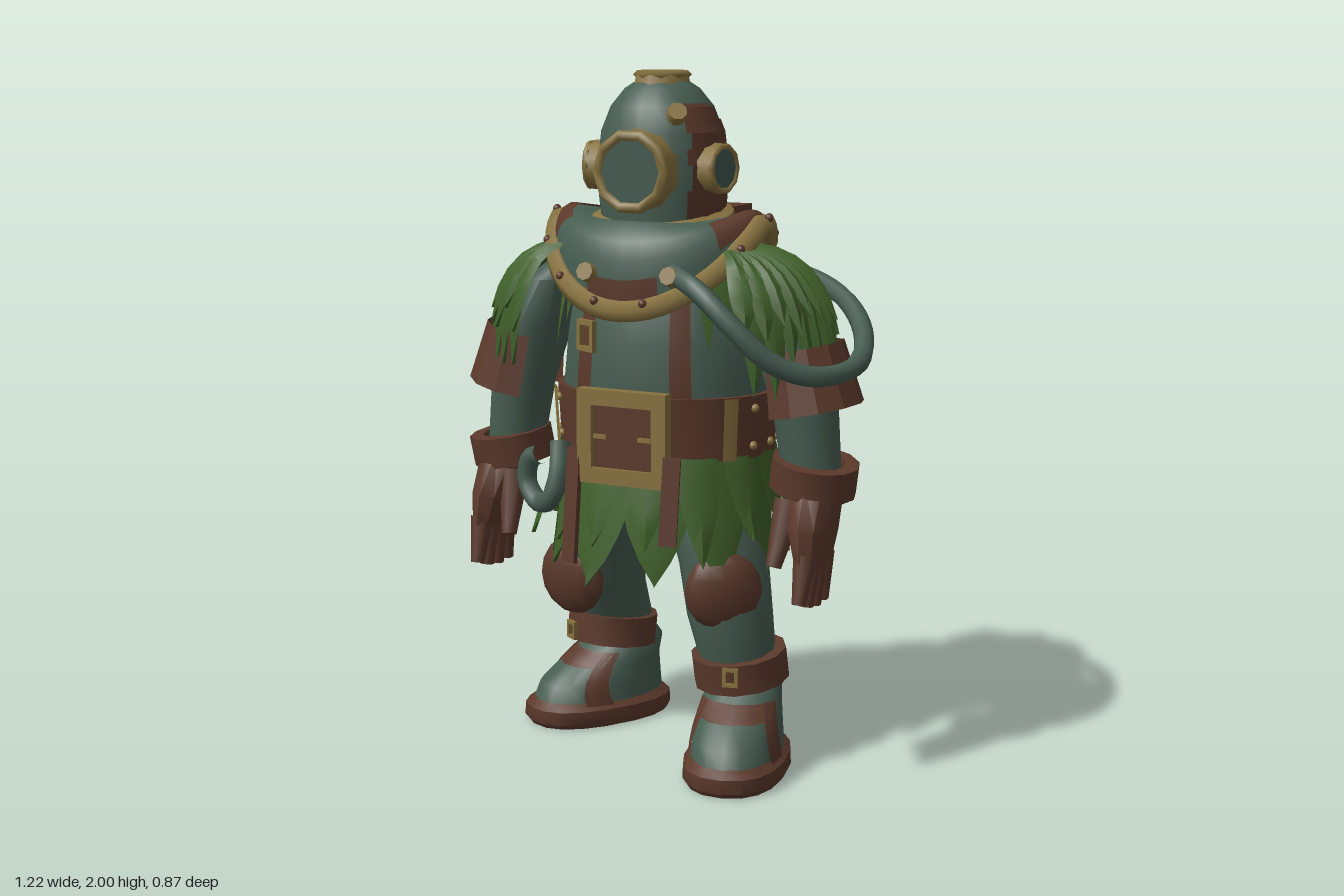
import * as THREE from 'three';
import { toCreasedNormals } from 'three/addons/utils/BufferGeometryUtils.js';

const V = (x, y, z) => new THREE.Vector3(x, y, z);
const TAU = Math.PI * 2;

export function createModel() {
  const paint = (name, color, side = THREE.FrontSide) => {
    const m = new THREE.MeshStandardMaterial({ color, side });
    m.name = name;
    return m;
  };
  const teal = paint('teal canvas', 0x475d51);
  const glass = paint('dark glass', 0x41584e);
  const brown = paint('brown leather', 0x5b392b, THREE.DoubleSide);
  const gold = paint('old brass', 0x87723f);
  const green = paint('leaf green', 0x3f5f29, THREE.DoubleSide);

  let seed = 7;
  const rnd = () => (seed = (seed * 16807) % 2147483647) / 2147483647;

  const root = new THREE.Group();
  const upper = new THREE.Group();
  upper.name = 'upperBody';
  upper.rotation.y = -0.27;
  root.add(upper);

  const add = (parent, name, geo, mat, pos = [0, 0, 0], rot = [0, 0, 0]) => {
    const m = new THREE.Mesh(geo, mat);
    m.name = name;
    m.position.set(...pos);
    m.rotation.set(...rot);
    parent.add(m);
    return m;
  };
  const group = (parent, name, pos = [0, 0, 0], rot = [0, 0, 0]) => {
    const g = new THREE.Group();
    g.name = name;
    g.position.set(...pos);
    g.rotation.set(...rot);
    parent.add(g);
    return g;
  };
  // surface from f(u, v); faces look along du x dv
  const grid = (nu, nv, f) => {
    const pos = [], idx = [];
    for (let j = 0; j <= nv; j++) for (let i = 0; i <= nu; i++) pos.push(...f(i / nu, j / nv).toArray());
    for (let j = 0; j < nv; j++) for (let i = 0; i < nu; i++) {
      const a = j * (nu + 1) + i, d = a + nu + 1;
      idx.push(a, a + 1, d, a + 1, d + 1, d);
    }
    const g = new THREE.BufferGeometry();
    g.setAttribute('position', new THREE.Float32BufferAttribute(pos, 3));
    g.setIndex(idx);
    return toCreasedNormals(g, 0.75);
  };
  // rings [cx, y, cz, rx, rz] from bottom to top; k is a ring index, o an outward offset
  const surf = (rings, p = 1) => (t, k, o = 0) => {
    const i = Math.min(Math.floor(k), rings.length - 2), f = k - i;
    const [cx, y, cz, rx, rz] = rings[i].map((a, n) => a + (rings[i + 1][n] - a) * f);
    const pw = (c) => Math.sign(c) * Math.abs(c) ** p;
    return V(cx + (rx + o) * pw(Math.sin(t)), y, cz + (rz + o) * pw(Math.cos(t)));
  };
  const loft = (parent, name, mat, rings, n = 18, p = 1) => {
    const s = surf(rings, p);
    add(parent, name, grid(n, rings.length - 1, (u, v) => s((u % 1) * TAU, v * (rings.length - 1))), mat);
    return s;
  };
  const patch = (parent, name, mat, s, t0, t1, k0, k1, o = 0.006, nv = 4) =>
    add(parent, name, grid(4, nv, (u, v) => s(t0 + (t1 - t0) * u, k0 + (k1 - k0) * v, o)), mat);
  const band = (parent, name, mat, rx, rz, h, pos, rot) => loft(group(parent, name, pos, rot), name, mat,
    [[0, -h / 2, 0, rx - 0.04, rz - 0.04], [0, -h / 2, 0, rx, rz], [0, h / 2, 0, rx, rz], [0, h / 2, 0, rx - 0.04, rz - 0.04]], 12);
  const tube = (parent, name, mat, pts, r, n = 36) =>
    add(parent, name, new THREE.TubeGeometry(new THREE.CatmullRomCurve3(pts.map((p) => V(...p))), n, r, 8), mat);
  const frame = (parent, name, w, h, b, d, pos, rot) => {
    const rect = (s, x, y) => s.moveTo(-x, -y).lineTo(x, -y).lineTo(x, y).lineTo(-x, y).closePath();
    const sh = rect(new THREE.Shape(), w / 2, h / 2);
    sh.holes.push(rect(new THREE.Path(), w / 2 - b, h / 2 - b));
    return add(parent, name, new THREE.ExtrudeGeometry(sh, { depth: d, bevelEnabled: false }), gold, pos, rot);
  };
  const box = (x, y, z) => new THREE.BoxGeometry(x, y, z);
  const stud = new THREE.SphereGeometry(0.013, 8, 6);

  // torso, chest straps and leaf tufts
  const torso = loft(upper, 'torso', teal, [[0, 0.76, 0, 0.22, 0.17], [0, 0.95, 0, 0.3, 0.24], [0, 1.1, 0, 0.315, 0.255],
    [0, 1.25, 0, 0.3, 0.245], [0, 1.4, 0, 0.28, 0.215], [0, 1.52, 0, 0.2, 0.16], [0, 1.56, 0, 0, 0]]);
  for (const s of [-1, 1]) {
    patch(upper, 'chestStrap', brown, torso, s * 0.5 - 0.1, s * 0.5 + 0.1, 1.5, 4, 0.008);
    add(upper, 'hangingStrap', box(0.05, s > 0 ? 0.25 : 0.33, 0.015), brown, [s * 0.155, s > 0 ? 0.82 : 0.78, 0.3], [-0.12, s * 0.3, 0]);
    for (const a of [0.75, 0.95, 1.15, 2.0]) {
      const len = 1 + 0.6 * rnd();
      add(upper, 'chestLeaf', grid(2, 3, (u, v) => torso(s * a + (u - 0.5) * 0.26 * (1 - v), 4.3 - v * len, 0.035)), green);
    }
  }
  frame(upper, 'strapBuckle', 0.075, 0.09, 0.015, 0.015, [-0.14, 1.26, 0.222], [0, -0.45, 0]);

  // belt with studs, bars and large buckle
  const belt = loft(upper, 'belt', brown, [[0, 0.92, 0, 0.29, 0.23], [0, 0.92, 0, 0.325, 0.262], [0, 1.1, 0, 0.335, 0.272], [0, 1.1, 0, 0.3, 0.24]], 20);
  for (let i = 3; i < 18; i++) for (const k of [1.2, 1.8]) add(upper, 'beltStud', stud, gold, belt(i * TAU / 20, k).toArray());
  for (const s of [-1, 1]) patch(upper, 'beltBar', gold, belt, s * 0.95 - 0.07, s * 0.95 + 0.07, 1, 2, 0.012, 1);
  frame(upper, 'beltBuckle', 0.28, 0.27, 0.045, 0.035, [0, 0.985, 0.262]);
  add(upper, 'bucklePlate', box(0.2, 0.19, 0.03), brown, [0, 0.985, 0.268]);
  for (const s of [-1, 1]) add(upper, 'buckleTongue', box(0.04, 0.012, 0.01), gold, [s * 0.07, 0.985, 0.287]);
  tube(upper, 'beltHook', teal, [[-0.22, 0.95, 0.25], [-0.21, 0.86, 0.28], [-0.23, 0.79, 0.29], [-0.28, 0.77, 0.27],
    [-0.33, 0.82, 0.25], [-0.32, 0.89, 0.25], [-0.28, 0.91, 0.26]], 0.03, 24);

  // leaf skirt: broad inner leaves, narrow flaring outer ones
  const skirt = group(upper, 'leafSkirt');
  loft(skirt, 'skirtBase', green, [[0, 0.78, 0, 0.318, 0.262], [0, 0.94, 0, 0.305, 0.245]], 20);
  for (const [n, width, len0, flare0, lift] of [[11, 0.78, 0.29, 0.02, 0], [14, 0.4, 0.22, 0.04, 0.012]])
    for (let i = 0; i < n; i++) {
      const a = (i + 0.5) * TAU / n, len = len0 + 0.1 * rnd(), flare = flare0 + 0.05 * rnd();
      add(skirt, 'skirtLeaf', grid(2, 5, (u, v) => {
        const t = a + (u - 0.5) * width * (1 - v ** 2), r = flare * v + (u === 0.5 ? 0.012 : 0) + lift;
        return V((0.305 + r) * Math.sin(t), 0.93 - len * v, (0.25 + r) * Math.cos(t));
      }), green);
    }

  // saddle shaped collar with rim and bolts
  const collar = (t, v, o = 0) => {
    const c = Math.cos(t), drop = (c > 0 ? 0.235 : 0.16) * Math.abs(c) ** 1.3, b = Math.sin(v * Math.PI) * 0.03 + o;
    return V((0.318 - 0.123 * v + b) * Math.sin(t) - 0.022, 1.575 - drop * (1 - v) ** 1.2 + v * 0.01 + b, (0.25 - 0.075 * v + b) * c);
  };
  add(upper, 'collar', grid(28, 5, (u, v) => collar((u % 1) * TAU, v)), teal);
  for (const [a, b, v0, v1] of [[0.95, 2.3, 0.2, 0.7], [-2.2, -1.0, 0.2, 0.7], [-0.35, 0.35, 0, 0.22]])
    add(upper, 'collarPatch', grid(8, 4, (u, w) => collar(a + (b - a) * u, v0 + (v1 - v0) * w, 0.005)), brown);
  const rim = new THREE.CatmullRomCurve3(Array.from({ length: 24 }, (_, i) => collar(i * TAU / 24, 0)), true);
  add(upper, 'collarRim', new THREE.TubeGeometry(rim, 48, 0.034, 6, true), gold);
  for (let i = 0; i < 14; i++) {
    const t = (i + 0.5) * TAU / 14, p = collar(t, 0);
    add(upper, 'rimBolt', stud, brown, [p.x + 0.023 * Math.sin(t), p.y + 0.019, p.z + 0.023 * Math.cos(t)]);
  }
  for (const s of [-1, 1]) add(upper, 'collarPlug', new THREE.CylinderGeometry(0.026, 0.032, 0.06, 8), gold,
    [s * 0.13, 1.44, 0.235], [1.3, 0, 0]);

  // helmet
  const helmet = group(upper, 'helmet', [-0.01, 0, 0.012]);
  const dome = loft(helmet, 'helmetDome', teal, [[0, 1.52, 0, 0.17, 0.155], [0, 1.64, 0, 0.186, 0.164], [0, 1.74, 0, 0.19, 0.167],
    [0, 1.83, 0, 0.179, 0.157], [0, 1.9, 0, 0.15, 0.135], [0, 1.95, 0, 0.108, 0.1], [0, 1.98, 0, 0.06, 0.056], [0, 1.98, 0, 0, 0]], 22);
  for (const [k0, k1, a, b] of [[0, 0.6, 0.85, 2.5], [0.6, 1.3, 0.8, 2.35], [1.3, 2, 0.88, 2.5], [2, 2.5, 0.8, 2.25],
    [2.5, 3, 0.88, 2.3], [3, 3.5, 0.8, 1.95], [3.5, 4, 0.75, 1.7], [4, 4.2, 0.85, 1.45]])
    patch(helmet, 'rustPatch', brown, dome, a, b, k0, k1, 0.004, 2);
  loft(group(helmet, 'neckRing', [0, 1.575, 0], [0.18, 0, 0]), 'neckRing', gold,
    [[0, -0.045, 0, 0.2, 0.185], [0, -0.035, 0, 0.22, 0.2], [0, 0.02, 0, 0.21, 0.192], [0, 0.035, 0, 0.18, 0.16]], 22);
  const port = (name, r, depth, y, ang, dist) => {
    const g = group(helmet, name, [dist * Math.sin(ang), y, dist * Math.cos(ang)], [0, ang, 0]);
    add(g, 'portHousing', new THREE.CylinderGeometry(r, r * 1.05, depth, 10), gold, [0, 0, -depth / 2], [Math.PI / 2, 0, 0]);
    add(g, 'portRim', new THREE.TorusGeometry(r * 0.9, r * 0.14, 6, 10), gold);
    add(g, 'portGlass', new THREE.CircleGeometry(r * 0.84, 10), glass, [0, 0, 0.004]);
  };
  port('frontWindow', 0.115, 0.09, 1.725, 0, 0.2);
  for (const s of [-1, 1]) port('sideWindow', 0.07, 0.06, 1.73, s * 1.4, 0.212);
  add(helmet, 'helmetPlug', new THREE.CylinderGeometry(0.028, 0.032, 0.06, 8), gold, [0.095, 1.875, 0.105], [0.9, 0, -0.5]);

  // grille on the crown
  const grille = group(helmet, 'crownGrille', [0, 1.985, 0]);
  add(grille, 'grilleBase', new THREE.CylinderGeometry(0.078, 0.085, 0.03, 8), gold, [0, -0.012, 0]);
  add(grille, 'grilleHollow', new THREE.CircleGeometry(0.064, 8), glass, [0, 0.005, 0], [-Math.PI / 2, 0, 0]);
  add(grille, 'grilleRing', new THREE.TorusGeometry(0.072, 0.012, 4, 8), gold, [0, 0.003, 0], [Math.PI / 2, 0, Math.PI / 8]);
  for (const s of [-0.022, 0.022]) {
    add(grille, 'grilleBar', box(0.012, 0.01, 0.13), gold, [s, 0.008, 0]);
    add(grille, 'grilleBar', box(0.13, 0.01, 0.012), gold, [0, 0.008, s]);
  }

  // air pack, pipe and hose
  const pack = group(upper, 'airPack', [-0.015, 0, -0.265]);
  add(pack, 'packTop', box(0.25, 0.2, 0.17), brown, [0, 1.5, 0]);
  add(pack, 'packBottom', box(0.21, 0.18, 0.15), brown, [0, 1.34, 0]);
  add(pack, 'packFitting', box(0.11, 0.03, 0.11), gold, [0, 1.61, 0]);
  add(pack, 'pipeNut', new THREE.CylinderGeometry(0.04, 0.045, 0.05, 8), gold, [0, 1.64, 0]);
  for (const x of [-0.1, 0.1]) for (const y of [1.43, 1.57]) add(pack, 'packBolt', stud, gold, [x, y, -0.08]);
  tube(pack, 'airPipe', teal, [[0, 1.62, 0], [0, 1.72, 0], [0, 1.765, 0.025], [0, 1.77, 0.07], [0, 1.74, 0.12]], 0.031, 16);
  tube(root, 'airHose', teal, [[0.06, 1.45, 0.24], [0.15, 1.41, 0.33], [0.25, 1.32, 0.365], [0.36, 1.22, 0.35], [0.48, 1.18, 0.29],
    [0.57, 1.2, 0.17], [0.57, 1.27, 0.02], [0.49, 1.35, -0.14], [0.35, 1.4, -0.25], [0.17, 1.42, -0.28]], 0.029);

  // arms
  for (const s of [-1, 1]) {
    const arm = group(upper, s > 0 ? 'leftArm' : 'rightArm');
    loft(arm, 'sleeve', teal, [[0.48, 0.88, 0.055, 0.085, 0.085], [0.455, 1.08, 0.05, 0.095, 0.1], [0.41, 1.25, 0.045, 0.105, 0.12],
      [0.335, 1.4, 0.03, 0.09, 0.125], [0.27, 1.47, 0.01, 0.07, 0.1], [0.2, 1.5, 0, 0, 0]].map(([x, ...r]) => [s * x, ...r]), 14);
    band(arm, 'wristCuff', brown, 0.125, 0.12, 0.09, [s * 0.49, 0.885, 0.06], [0.1, 0, s * -0.15]);
    add(arm, 'elbowGuard', new THREE.CylinderGeometry(0.125, 0.15, 0.18, 8, 1, true, s * Math.PI / 2 - 2.1, 4.2).toNonIndexed(), brown,
      [s * 0.455, 1.155, 0.045], [0, 0, s * 0.2]).geometry.computeVertexNormals();

    // gloved hand
    const hand = group(arm, 'hand', [s * 0.5, 0.84, 0.1], [-0.12, 0, s * 0.1]);
    loft(hand, 'palm', brown, [[0, -0.2, 0.01, 0, 0], [0, -0.19, 0.01, 0.04, 0.1], [0, -0.1, 0, 0.065, 0.115], [0, 0.04, -0.03, 0.085, 0.08]], 10);
    for (let i = 0; i < 4; i++) add(hand, 'finger', new THREE.CylinderGeometry(0.034, 0.02, 0.17 - Math.abs(i - 1.4) * 0.02, 6), brown,
      [s * -0.004, -0.235, -0.065 + i * 0.05], [(1.5 - i) * 0.1, 0, s * -0.12]);
    add(hand, 'thumb', new THREE.CylinderGeometry(0.045, 0.022, 0.19, 6), brown, [s * -0.075, -0.11, 0.05], [-0.25, 0, s * -0.2]);

    // leaf mantle: blades run from the collar outward and down; a goes back to front, v along the blade
    const mantle = group(arm, 'leafMantle');
    const drape = (a, v, o) => {
      const w = 1 - v, q = a * a;
      const mix = (p0, p1, p2) => w * w * p0 + 2 * w * v * p1 + v * v * p2;
      return V(s * (mix(0.25, 0.5 - 0.12 * q, 0.53 - 0.16 * q) + o * (1 - 0.5 * q)), mix(1.5, 1.51 - 0.04 * q, 1.22) + o * w,
        mix(0.03 + 0.1 * a, 0.045 + 0.19 * a, 0.05 + 0.18 * a) + o * a);
    };
    add(mantle, 'mantleBase', grid(12, 6, (u, v) => drape(2 * u - 1, 0.85 * v, 0)), green);
    for (let l = 0; l < 2; l++) for (let i = 0; i < 13; i++) {
      const a = ((i + 0.5 + l / 2) / 6.5 - 1) * 1.05, len = 1.02 + 0.18 * rnd() - l * 0.25;
      add(mantle, 'mantleLeaf', grid(2, 6, (u, v) =>
        drape(a + (u - 0.5) * 0.3 * (1 - v ** 4), v * len, 0.006 + l * 0.01 * v + (u === 0.5 ? 0.01 : 0))), green);
    }
  }

  // legs: rings, band centre, knee and its heading, foot centre and heading
  const legs = [
    ['leftLeg', [[0.24, 0.2, 0.1, 0.1, 0.105], [0.235, 0.3, 0.12, 0.11, 0.115], [0.21, 0.45, 0.13, 0.125, 0.125], [0.19, 0.6, 0.12, 0.13, 0.135],
      [0.15, 0.75, 0.06, 0.145, 0.15], [0.12, 0.9, 0.03, 0.13, 0.13]], [0.24, 0.3, 0.125], [0.205, 0.54, 0.22], 0.3, [0.245, 0, 0.2], -0.05],
    ['rightLeg', [[-0.195, 0.2, -0.29, 0.105, 0.1], [-0.21, 0.3, -0.255, 0.115, 0.11], [-0.23, 0.45, -0.175, 0.125, 0.125], [-0.22, 0.6, -0.11, 0.13, 0.135],
      [-0.17, 0.75, -0.06, 0.145, 0.15], [-0.12, 0.9, -0.03, 0.13, 0.13]], [-0.22, 0.29, -0.235], [-0.305, 0.485, -0.065], -0.4, [-0.265, 0, -0.23], -0.84],
  ];
  for (const [name, rings, ankle, knee, kneeYaw, foot, yaw] of legs) {
    const leg = group(root, name);
    loft(leg, 'trouser', teal, rings, 14);
    const tilt = name === 'leftLeg' ? -0.1 : 0.08;
    band(leg, 'ankleBand', brown, 0.14, 0.14, 0.09, ankle, [-tilt, 0, -tilt]);
    const n = V(Math.sin(yaw), 0, Math.cos(yaw));
    frame(leg, 'ankleBuckle', 0.045, 0.055, 0.01, 0.012, V(...ankle).addScaledVector(n, 0.137).toArray(), [0, yaw, 0]);
    add(leg, 'kneePad', new THREE.SphereGeometry(1, 12, 8), brown, knee, [0.1, kneeYaw, 0]).scale.set(0.112, 0.12, 0.055);

    const boot = group(leg, 'boot', foot, [0, yaw, 0]);
    loft(boot, 'sole', brown, [[0, 0, 0, 0, 0], [0, 0, 0, 0.14, 0.228], [0, 0.015, 0, 0.15, 0.24], [0, 0.055, 0, 0.148, 0.238],
      [0, 0.075, 0, 0.125, 0.21]], 18, 0.85);
    const shell = loft(boot, 'bootUpper', teal, [[0, 0.065, 0, 0.13, 0.215], [0, 0.12, -0.01, 0.127, 0.2], [0, 0.18, -0.05, 0.117, 0.155],
      [0, 0.24, -0.1, 0.108, 0.115], [0, 0.27, -0.105, 0.09, 0.09]], 18, 0.9);
    for (const s of [-1, 1]) patch(boot, 'bootStrap', brown, (t, k, o) => shell(t - s * 0.14 * k, k, o), s * 1.3 - 0.2, s * 1.3 + 0.2, 0, 2.6);
    patch(boot, 'instepStrap', brown, shell, -1, 1, 1.9, 2.6);
  }
  return root;
}
